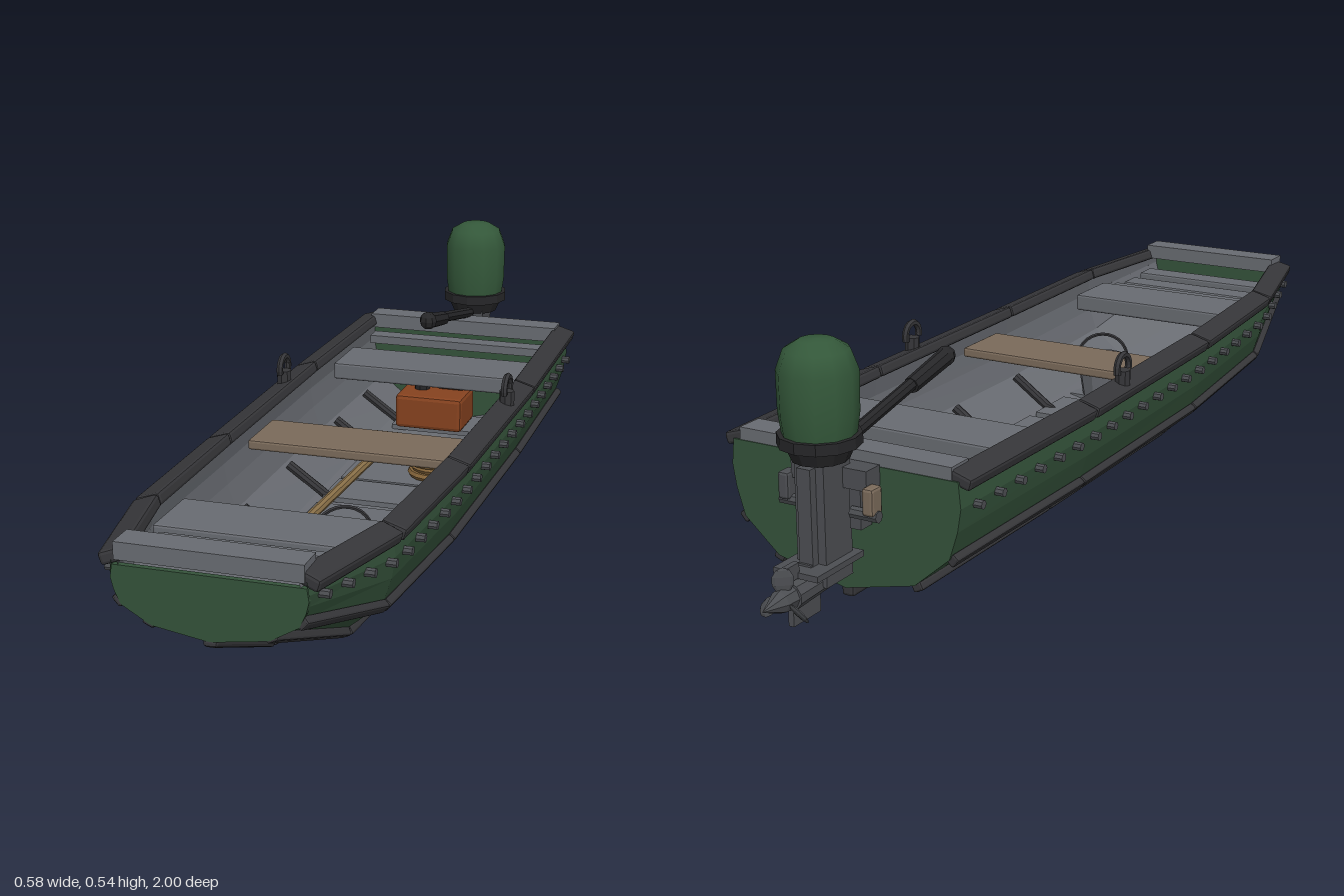
import * as THREE from 'three';
import { RoundedBoxGeometry } from 'three/addons/geometries/RoundedBoxGeometry.js';

const paint = (color, extra = {}) => new THREE.MeshStandardMaterial({ color, flatShading: true, ...extra });
const GREEN = paint(0x34523a, { side: THREE.DoubleSide });
const GREY = paint(0x686b71, { side: THREE.DoubleSide });
const STEEL = paint(0x4c4e52, { side: THREE.DoubleSide });
const DARK = paint(0x363639);
const BLACK = paint(0x262628);
const WOOD = paint(0x7a6a5a);
const OAR = paint(0x8a7048);
const ROPE = paint(0x85653a);
const RUST = paint(0x86421f);
const COWL = new THREE.MeshStandardMaterial({ color: 0x34583a });

// hull stations from stern to bow: z, half width, keel height, sheer height
const STATIONS = [
  [-0.74, 0.26, 0.02, 0.28], [-0.25, 0.27, 0.02, 0.28], [0.31, 0.265, 0.02, 0.283],
  [0.71, 0.25, 0.05, 0.293], [1.0, 0.185, 0.18, 0.305]];
// half section from keel to sheer, as fractions of width and height
const SECTION = [[0, 0], [0.6, 0.14], [0.9, 0.4], [0.97, 0.62], [1, 0.8], [0.98, 1]];
const V = (x, y, z) => new THREE.Vector3(x, y, z);

export function createModel() {
  const root = new THREE.Group();
  const add = (name, geo, mat, x = 0, y = 0, z = 0, parent = root) => {
    const m = new THREE.Mesh(geo, mat);
    m.name = name;
    m.position.set(x, y, z);
    parent.add(m);
    return m;
  };
  const box = (name, w, h, d, mat, x, y, z) => add(name, new THREE.BoxGeometry(w, h, d), mat, x, y, z);
  // bevelled bar from a to b
  const beam = (name, a, b, w, h, mat, roll = 0) => {
    const m = add(name, new RoundedBoxGeometry(w, h, a.distanceTo(b) - 0.004, 1, Math.min(w, h) * 0.25), mat);
    m.position.copy(a).lerp(b, 0.5);
    m.lookAt(b);
    m.rotateZ(roll);
    return m;
  };
  // round bar from a to b
  const rod = (name, a, b, r0, r1, mat, sides = 8) => {
    const g = new THREE.CylinderGeometry(r1, r0, a.distanceTo(b), sides).rotateX(Math.PI / 2);
    const m = add(name, g, mat);
    m.position.copy(a).lerp(b, 0.5);
    m.lookAt(b);
    return m;
  };

  // point on the hull skin
  const hullPoint = ([z, w, lo, hi], i, side = 1, inset = 0) =>
    V(side * SECTION[i][0] * (w - inset), lo + inset + SECTION[i][1] * (hi - lo - inset), z);
  const sectionLoop = (st, inset) => {
    const pts = [];
    for (let i = 5; i > 0; i--) pts.push(hullPoint(st, i, -1, inset));
    for (let i = 0; i <= 5; i++) pts.push(hullPoint(st, i, 1, inset));
    return pts;
  };
  const stationAt = z => {
    const k = Math.max(1, STATIONS.findIndex(s => s[0] >= z));
    const a = STATIONS[k - 1], b = STATIONS[k], t = (z - a[0]) / (b[0] - a[0]);
    return a.map((v, i) => v + (b[i] - v) * t);
  };
  const skin = inset => {
    const pos = [], idx = [];
    STATIONS.forEach(st => sectionLoop(st, inset).forEach(p => pos.push(p.x, p.y, p.z)));
    for (let s = 0; s < STATIONS.length - 1; s++) for (let i = 0; i < 10; i++) {
      const a = s * 11 + i, b = a + 11;
      idx.push(a, a + 1, b, a + 1, b + 1, b);
    }
    const g = new THREE.BufferGeometry();
    g.setAttribute('position', new THREE.Float32BufferAttribute(pos, 3));
    g.setIndex(idx);
    g.computeVertexNormals();
    return g;
  };
  add('outerHull', skin(0), GREEN);
  add('innerHull', skin(0.014), GREY);

  // end panels
  const panel = (st, depth) => new THREE.ExtrudeGeometry(
    new THREE.Shape(sectionLoop(st, 0).map(p => new THREE.Vector2(p.x, p.y))), { depth, bevelEnabled: false });
  add('transom', panel(STATIONS[0], 0.02), GREEN, 0, 0, -0.742);
  add('bowPanel', panel(STATIONS[4], 0.012), GREEN, 0, -0.012, 0.988);
  box('transomCap', 0.48, 0.035, 0.06, GREY, 0, 0.288, -0.71);
  box('transomLedge', 0.46, 0.02, 0.045, GREY, 0, 0.25, -0.66);
  box('bowCap', 0.355, 0.034, 0.06, GREY, 0, 0.319, 0.97);

  // gunwales, strakes and keel in sections between stations
  for (let k = 0; k < 4; k++) {
    const A = STATIONS[k], B = STATIONS[k + 1];
    for (const s of [-1, 1]) {
      const rail = (name, i, out, up, w, h, roll) => {
        const off = V(s * out, up, 0);
        beam(name, hullPoint(A, i, s).add(off), hullPoint(B, i, s).add(off), w, h, DARK, roll);
      };
      rail('gunwale', 5, -0.002, 0.002, 0.052, 0.026, -s * 0.3);
      rail('lowerStrake', 1, 0.003, -0.004, 0.024, 0.018, s * 0.45);
      rail('upperStrake', 2, 0.004, -0.003, 0.024, 0.018, s * 0.85);
    }
    beam('keel', hullPoint(A, 0).add(V(0, -0.006, 0)), hullPoint(B, 0).add(V(0, -0.006, 0)), 0.028, 0.028, DARK);
  }

  // rivets along the sides
  for (let z = -0.69; z < 0.98; z += 0.075) for (const s of [-1, 1]) {
    const p = hullPoint(stationAt(z), 4, s);
    add('rivet', new THREE.CylinderGeometry(0.009, 0.009, 0.03, 8).rotateZ(Math.PI / 2), STEEL, p.x + s * 0.002, p.y - 0.004, z);
  }
  // small fins under the bow
  for (const s of [-1, 1])
    add('bowFin', new THREE.SphereGeometry(1, 8, 6).scale(0.03, 0.008, 0.03), STEEL, s * 0.058, 0.068, 0.66);

  // seats and bow slats
  const seat = (name, w, h, d, y, z, mat) => add(name, new RoundedBoxGeometry(w, h, d, 1, 0.005), mat, 0, y, z);
  seat('sternSeat', 0.47, 0.04, 0.15, 0.245, -0.435, GREY);
  seat('middleSeat', 0.46, 0.022, 0.15, 0.25, 0.15, WOOD);
  seat('bowSeat', 0.43, 0.04, 0.15, 0.25, 0.68, GREY);
  seat('bowSlat', 0.39, 0.02, 0.025, 0.255, 0.78, GREY);
  seat('bowSlat', 0.36, 0.02, 0.06, 0.255, 0.835, GREY);
  seat('bowSlat', 0.34, 0.02, 0.06, 0.265, 0.91, GREY);

  // floor plates and frames
  for (const [z, d] of [[-0.56, 0.12], [-0.36, 0.12], [-0.18, 0.16], [-0.03, 0.12], [0.14, 0.14], [0.31, 0.14], [0.48, 0.13]])
    box('floorPlate', 0.26, 0.012, d, GREY, 0, 0.068, z);
  for (const z of [-0.545, -0.32, 0.015, 0.295]) for (const s of [-1, 1]) {
    rod('floorFrame', V(s * 0.13, 0.075, z), V(s * 0.215, 0.135, z), 0.011, 0.011, DARK);
    rod('floorFrameTip', V(s * 0.13, 0.075, z), V(s * 0.105, 0.07, z), 0.011, 0.003, DARK);
  }
  rod('frontFrame', V(-0.18, 0.1, 0.575), V(0.18, 0.1, 0.575), 0.011, 0.011, DARK);

  // oarlocks
  for (const s of [-1, 1]) {
    add('oarlockSocket', new THREE.CylinderGeometry(0.017, 0.017, 0.045, 8), DARK, s * 0.262, 0.301, -0.09);
    const hook = add('oarlockHook', new THREE.TorusGeometry(0.027, 0.0075, 6, 12, Math.PI * 1.15), DARK, s * 0.262, 0.329, -0.09);
    hook.rotation.set(0, Math.PI / 2, 0);
    hook.rotateZ(-0.15);
    rod('oarlockPin', V(s * 0.262, 0.318, -0.115), V(s * 0.262, 0.335, -0.115), 0.008, 0.008, DARK);
  }

  // bucket with wire handle
  const bucket = [[0, 0], [0.048, 0], [0.063, 0.095], [0.056, 0.095], [0.044, 0.012], [0, 0.012]];
  add('bucket', new THREE.LatheGeometry(bucket.map(p => new THREE.Vector2(...p)), 10), GREY, 0.06, 0.074, 0.45);
  add('bucketHandle', new THREE.TorusGeometry(0.06, 0.004, 5, 14, Math.PI), DARK, 0.06, 0.165, 0.45).rotation.y = 0.5;

  // rope coil
  for (const [r, y] of [[0.056, 0.084], [0.05, 0.1], [0.057, 0.115]])
    add('ropeCoil', new THREE.TorusGeometry(r, 0.009, 6, 18).rotateX(Math.PI / 2), ROPE, 0.075, y, -0.18);

  // paddle
  box('paddleBlade', 0.062, 0.012, 0.145, OAR, -0.092, 0.1, -0.282);
  rod('paddleShaft', V(-0.078, 0.1, -0.22), V(-0.093, 0.1, 0.29), 0.011, 0.011, OAR);
  rod('paddleGrip', V(-0.135, 0.1, 0.292), V(-0.052, 0.1, 0.292), 0.011, 0.011, OAR);

  // fuel tank
  add('fuelTank', new RoundedBoxGeometry(0.17, 0.085, 0.13, 1, 0.01), RUST, -0.03, 0.118, -0.54);
  add('fuelCap', new THREE.CylinderGeometry(0.02, 0.02, 0.02, 8), BLACK, -0.065, 0.168, -0.55);
  rod('fuelTankHandle', V(-0.02, 0.17, -0.55), V(0.04, 0.17, -0.55), 0.007, 0.007, RUST);

  // outboard motor head
  const cowl = [[0.07, 0.352], [0.076, 0.395], [0.077, 0.475], [0.062, 0.515], [0.034, 0.532], [0, 0.535]];
  add('motorCowl', new THREE.LatheGeometry(cowl.map(p => new THREE.Vector2(...p)), 12), COWL, 0, 0, -0.81);
  add('motorCollar', new THREE.CylinderGeometry(0.08, 0.08, 0.022, 12), BLACK, 0, 0.345, -0.81);
  add('motorNeck', new THREE.CylinderGeometry(0.068, 0.055, 0.03, 12), BLACK, 0, 0.32, -0.81);

  // motor leg and transom clamp
  box('motorLeg', 0.065, 0.25, 0.085, STEEL, 0, 0.19, -0.805);
  box('motorLegRib', 0.03, 0.2, 0.12, STEEL, 0, 0.2, -0.805);
  box('clampBridge', 0.17, 0.04, 0.045, STEEL, 0, 0.265, -0.765);
  for (const s of [-1, 1]) {
    box('clampArm', 0.025, 0.12, 0.035, STEEL, s * 0.055, 0.225, -0.765);
    rod('clampScrew', V(s * 0.05, 0.2, -0.785), V(s * 0.11, 0.2, -0.785), 0.012, 0.012, STEEL);
    add('clampKnob', new RoundedBoxGeometry(0.025, 0.055, 0.035, 1, 0.006), s < 0 ? WOOD : STEEL, s * 0.095, 0.23, -0.785);
  }
  box('cavitationPlate', 0.1, 0.012, 0.15, STEEL, 0, 0.105, -0.825);
  box('trimTab', 0.012, 0.03, 0.04, STEEL, 0, 0.115, -0.915);

  // gearcase, skeg and propeller
  rod('gearcase', V(0, 0.07, -0.78), V(0, 0.07, -0.92), 0.022, 0.028, STEEL, 10);
  rod('gearcaseNose', V(0, 0.07, -0.75), V(0, 0.07, -0.78), 0.006, 0.022, STEEL, 10);
  box('lowerLeg', 0.028, 0.05, 0.09, STEEL, 0, 0.09, -0.825);
  box('skeg', 0.012, 0.055, 0.085, STEEL, 0, 0.037, -0.875);
  rod('propellerHub', V(0, 0.07, -0.92), V(0, 0.07, -0.95), 0.024, 0.022, STEEL);
  rod('propellerCone', V(0, 0.07, -0.95), V(0, 0.07, -1), 0.022, 0.001, STEEL);
  for (let i = 0; i < 3; i++) {
    const hub = new THREE.Group();
    hub.name = 'propellerBlade';
    hub.position.set(0, 0.07, -0.938);
    hub.rotation.z = i * Math.PI * 2 / 3;
    root.add(hub);
    add('blade', new THREE.SphereGeometry(1, 8, 5).scale(0.021, 0.026, 0.005), STEEL, 0, 0.038, 0, hub).rotation.y = 0.7;
  }

  // tiller
  rod('tillerArm', V(0, 0.31, -0.75), V(0, 0.365, -0.49), 0.013, 0.013, BLACK);
  rod('tillerGrip', V(0, 0.36, -0.5), V(0, 0.386, -0.375), 0.017, 0.019, BLACK);
  add('tillerKnob', new THREE.SphereGeometry(0.021, 8, 6), BLACK, 0, 0.388, -0.37);
  return root;
}
